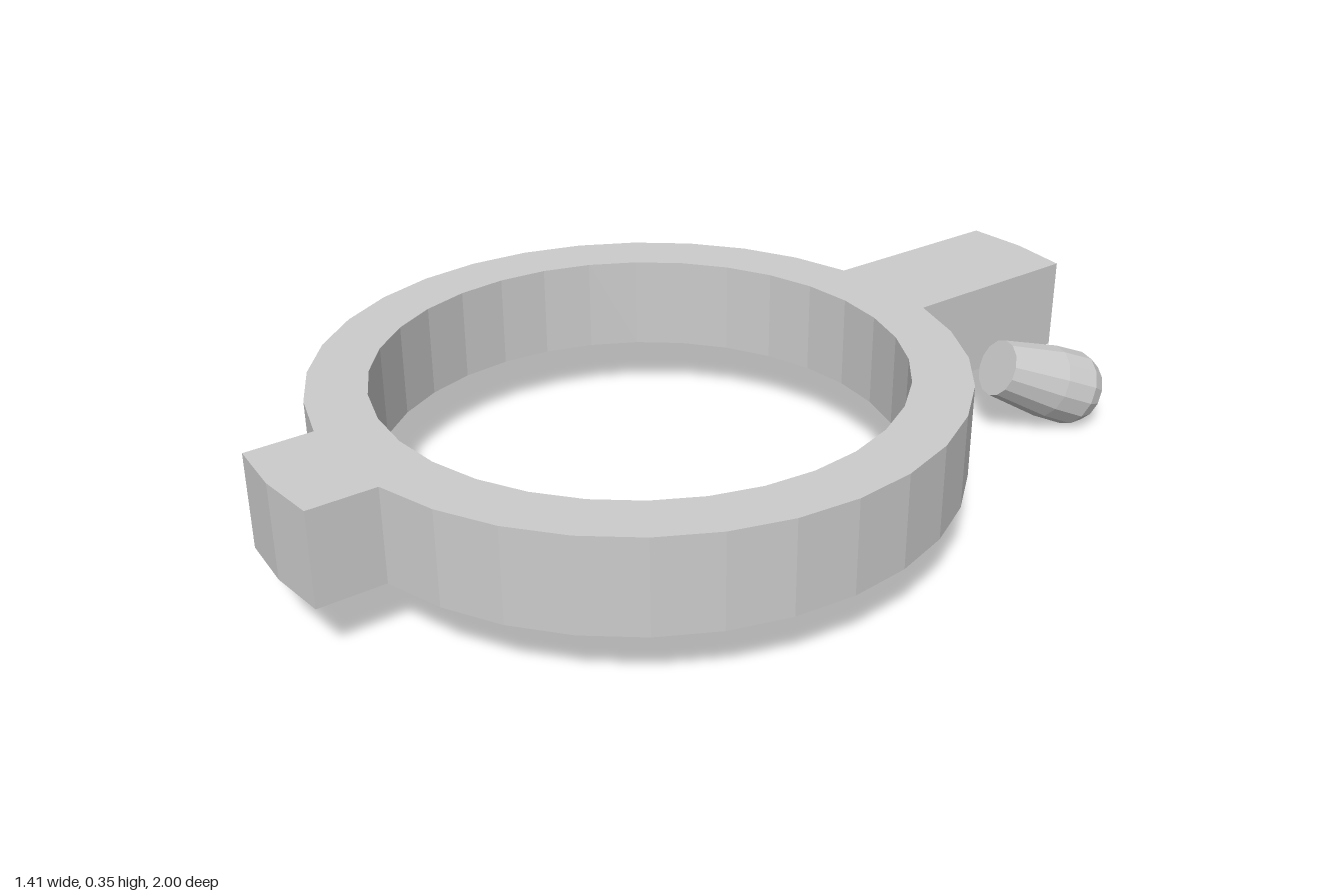
import * as THREE from 'three';

const SEGMENTS = 32;
const CENTER_Z = 0.146;

// Point on a circle about the ring centre; k counts steps from the front (+z)
function ringPoint(radius, k) {
  const a = (k / SEGMENTS) * Math.PI * 2;
  return new THREE.Vector2(radius * Math.sin(a), CENTER_Z + radius * Math.cos(a));
}

export function createModel() {
  const model = new THREE.Group();
  const material = new THREE.MeshStandardMaterial({ color: 0xcccccc, flatShading: true });

  // Ring plate: round outline with a short front tab and a long back arm
  const half = SEGMENTS / 2;
  const tabX = 0.137;
  const outline = [];
  for (let k = 1; k < half; k++) outline.push(ringPoint(0.705, k));
  outline.push(new THREE.Vector2(tabX, -0.988), new THREE.Vector2(0, -1), new THREE.Vector2(-tabX, -0.988));
  for (let k = half + 1; k < SEGMENTS; k++) outline.push(ringPoint(0.705, k));
  outline.push(new THREE.Vector2(-tabX, 0.988), new THREE.Vector2(0, 1), new THREE.Vector2(tabX, 0.988));

  // The hole runs the opposite way round, so its wall faces inwards
  const shape = new THREE.Shape(outline);
  const hole = [];
  for (let k = SEGMENTS; k > 0; k--) hole.push(ringPoint(0.575, k));
  shape.holes.push(new THREE.Path(hole));

  const plateGeometry = new THREE.ExtrudeGeometry(shape, { depth: 0.213, bevelEnabled: false });
  plateGeometry.rotateX(Math.PI / 2).translate(0, 0.348, 0);
  const plate = new THREE.Mesh(plateGeometry, material);
  plate.name = 'ringPlate';
  model.add(plate);

  // Barrel-shaped grips either side of the arm, sloping down and outwards to the back
  const length = 0.266;
  const profile = [[0, 0], [0.067, 0], [0.088, 0.56], [0.09, 0.87], [0.073, 1], [0, 1]]
    .map(([r, t]) => new THREE.Vector2(r, t * length));
  const gripGeometry = new THREE.LatheGeometry(profile, 14);
  for (const side of [1, -1]) {
    const grip = new THREE.Mesh(gripGeometry, material);
    grip.name = side > 0 ? 'leftGrip' : 'rightGrip';
    grip.position.set(side * 0.214, 0.173, -0.727);
    const axis = new THREE.Vector3(side * 0.06, -0.104, -0.233).normalize();
    grip.quaternion.setFromUnitVectors(new THREE.Vector3(0, 1, 0), axis);
    model.add(grip);
  }

  return model;
}
